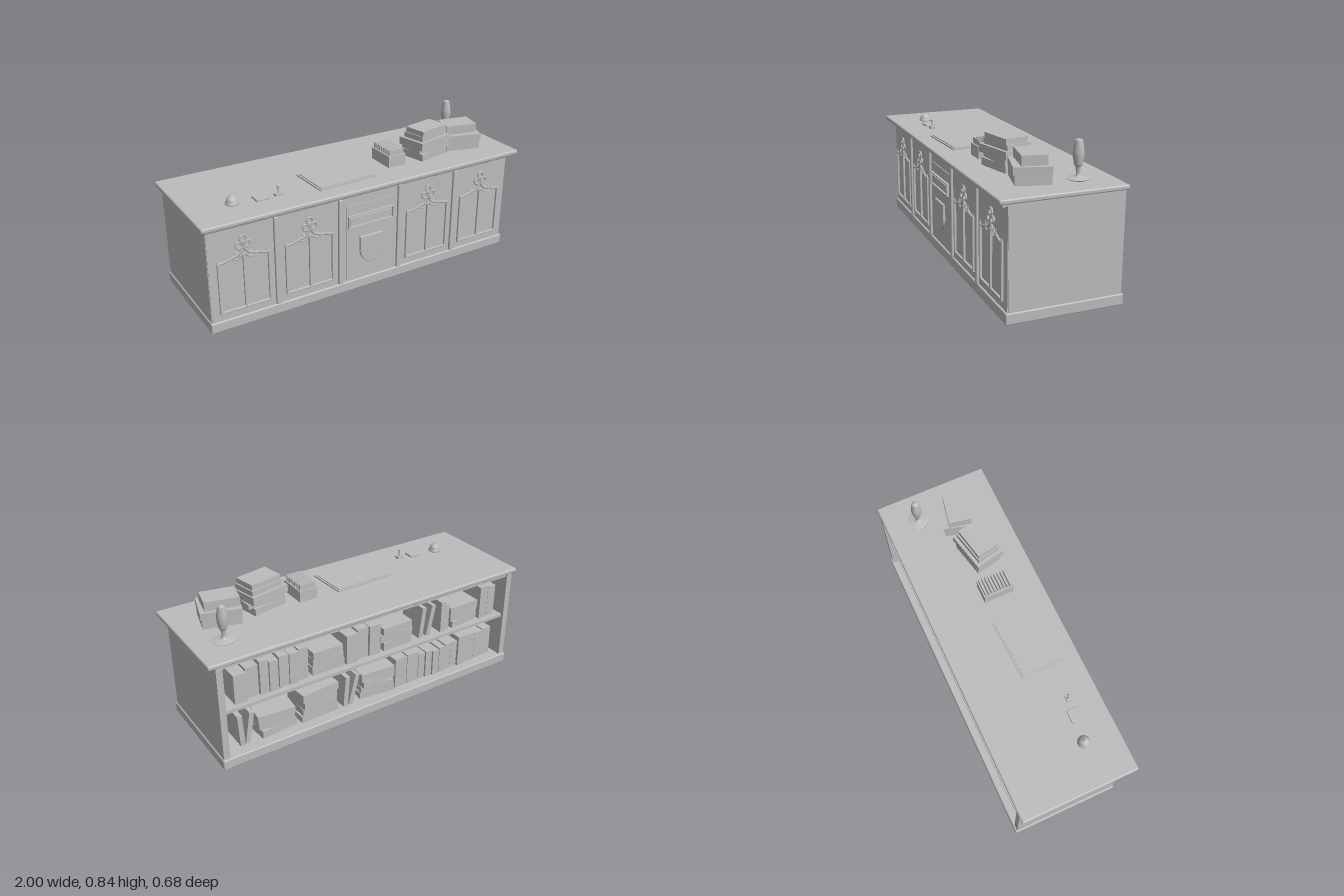
import * as THREE from 'three';
import { RoundedBoxGeometry } from 'three/addons/geometries/RoundedBoxGeometry.js';

const grey = new THREE.MeshStandardMaterial({ color: 0xbcbcbc });
grey.name = 'plain grey';
const V = (x, y, z) => new THREE.Vector3(x, y, z);

function add(parent, name, geometry, x = 0, y = 0, z = 0) {
  const m = new THREE.Mesh(geometry, grey);
  m.name = name;
  m.position.set(x, y, z);
  parent.add(m);
  return m;
}

// Box given by its minimum and maximum corners, optionally rounded
function span(parent, name, x0, x1, y0, y1, z0, z1, r = 0) {
  const s = [x1 - x0, y1 - y0, z1 - z0];
  const g = r ? new RoundedBoxGeometry(...s, 3, r) : new THREE.BoxGeometry(...s);
  return add(parent, name, g, (x0 + x1) / 2, (y0 + y1) / 2, (z0 + z1) / 2);
}

function group(parent, name, x = 0, y = 0, z = 0) {
  const g = new THREE.Group();
  g.name = name;
  g.position.set(x, y, z);
  parent.add(g);
  return g;
}

function lathe(parent, name, points, x, y, z) {
  const g = new THREE.LatheGeometry(points.map(p => new THREE.Vector2(...p)), 24);
  return add(parent, name, g, x, y, z);
}

// Gothic door panel: frame, mullion, pointed head, crockets and trefoil
function tracery(parent, x) {
  const g = group(parent, 'doorTracery', x, 0, 0.291);
  const tube = (name, curve, r, n) => add(g, name, new THREE.TubeGeometry(curve, n, r, 6));
  const bar = (name, x0, x1, y0, y1) => span(g, name, x0, x1, y0, y1, -0.007, 0.006, 0.003);
  bar('frameBottom', -0.148, 0.148, 0.1, 0.114);
  bar('mullion', -0.006, 0.006, 0.1, 0.425);
  for (const s of [-1, 1]) {
    bar('frameSide', s * 0.141 - 0.007, s * 0.141 + 0.007, 0.1, 0.4);
    tube('archHead', new THREE.CatmullRomCurve3([
      V(s * 0.146, 0.396, 0), V(s * 0.11, 0.4, 0), V(s * 0.07, 0.413, 0),
      V(s * 0.035, 0.42, 0), V(s * 0.018, 0.435, 0), V(0, 0.462, 0)]), 0.007, 20);
    tube('archInner', new THREE.CatmullRomCurve3([
      V(s * 0.07, 0.413, 0), V(s * 0.045, 0.395, 0), V(0, 0.424, 0)]), 0.005, 10);
    for (const [cx, cy, h] of [[0.068, 0.428, 0.042], [0.14, 0.412, 0.026], [0.038, 0.438, 0.026]]) {
      const c = add(g, 'crocket', new THREE.ConeGeometry(0.011, h, 6), s * cx, cy, 0);
      c.scale.z = 0.6;
    }
  }
  for (const [cx, cy] of [[0, 0.508], [-0.023, 0.473], [0.023, 0.473]])
    add(g, 'trefoilRing', new THREE.TorusGeometry(0.018, 0.006, 6, 18), cx, cy, 0);
}

// Flat pile of books; each layer is [width, height, depth, turn, dx, dz]
function pile(parent, x, y, z, layers) {
  const g = group(parent, 'bookPile', x, y, z);
  let top = 0;
  for (const [w, h, d, turn, dx = 0, dz = 0] of layers) {
    add(g, 'flatBook', new THREE.BoxGeometry(w, h, d), dx, top + h / 2, dz).rotation.y = turn;
    top += h;
  }
}

export function createModel() {
  const model = new THREE.Group();
  model.name = 'libraryDesk';
  let seed = 7;
  const rnd = () => (seed = (seed * 16807) % 2147483647) / 2147483647;

  // Carcass, open at the back
  const body = group(model, 'cabinet');
  span(body, 'plinth', -0.97, 0.97, 0, 0.06, -0.34, 0.295, 0.007);
  span(body, 'worktop', -1, 1, 0.61, 0.636, -0.33, 0.342, 0.009);
  span(body, 'frontWall', -0.96, 0.96, 0.06, 0.61, 0.255, 0.284);
  for (const s of [-1, 1])
    span(body, 'sideWall', s * 0.945 - 0.018, s * 0.945 + 0.018, 0.06, 0.61, -0.33, 0.28);
  span(body, 'innerTop', -0.93, 0.93, 0.595, 0.611, -0.32, 0.26);
  span(body, 'shelf', -0.93, 0.93, 0.322, 0.34, -0.315, 0.26);

  // Front mouldings
  const rail = add(body, 'underTopMoulding', new THREE.CylinderGeometry(0.01, 0.01, 1.95, 12), 0, 0.6, 0.308);
  rail.rotation.z = Math.PI / 2;
  span(body, 'topRail', -0.96, 0.96, 0.59, 0.611, 0.28, 0.306);
  for (const x of [-0.58, -0.195, 0.19, 0.575])
    span(body, 'pilaster', x - 0.014, x + 0.014, 0.06, 0.58, 0.28, 0.298, 0.006);
  for (const x of [-0.767, -0.385, 0.385, 0.767]) tracery(body, x);

  // Centre bay with slot and shield
  const bay = group(body, 'centreBay');
  span(bay, 'centrePanel', -0.155, 0.155, 0.07, 0.525, 0.28, 0.289);
  span(bay, 'slotPlate', -0.15, 0.146, 0.395, 0.402, 0.285, 0.302);
  span(bay, 'slotPlate', -0.15, 0.146, 0.462, 0.469, 0.285, 0.302);
  for (const x of [-0.15, 0.138]) span(bay, 'slotEnd', x, x + 0.008, 0.395, 0.469, 0.285, 0.302);
  span(bay, 'slotFlap', -0.135, 0.13, 0.408, 0.452, 0.285, 0.297);
  const shield = new THREE.Shape();
  shield.moveTo(-0.07, 0.322);
  shield.lineTo(0.07, 0.322);
  shield.lineTo(0.07, 0.235);
  shield.quadraticCurveTo(0.062, 0.18, 0, 0.155);
  shield.quadraticCurveTo(-0.062, 0.18, -0.07, 0.235);
  add(bay, 'shield', new THREE.ExtrudeGeometry(shield, {
    depth: 0.012, bevelThickness: 0.003, bevelSize: 0.004, bevelSegments: 2, curveSegments: 10,
  }), 0, 0, 0.287);

  // Shelf contents: upright runs [from x, to x, count, height], piles and leaning books
  const store = group(model, 'shelfBooks');
  const uprights = (y, runs) => runs.forEach(([a, b, n, h]) => {
    const w = (a - b) / n;
    for (let i = 0; i < n; i++) {
      const bh = h * (0.86 + 0.18 * rnd()), back = -0.265 - 0.025 * rnd();
      span(store, 'uprightBook', a - (i + 1) * w + 0.002, a - i * w - 0.002, y, y + bh, back, back + 0.18);
    }
  });
  const piles = (y, list) => list.forEach(([x, w, n]) => {
    const layers = [];
    for (let i = 0; i < n; i++)
      layers.push([w * (0.86 + 0.1 * rnd()), 0.036 + 0.014 * rnd(), 0.17, (rnd() - 0.5) * 0.22]);
    pile(store, x, y, -0.19, layers);
  });
  const leaning = (y, list) => list.forEach(([x, tilt]) => {
    const h = 0.19;
    const m = add(store, 'leaningBook', new THREE.BoxGeometry(0.028, h, 0.17),
      x, y + (h / 2) * Math.cos(tilt) + 0.014 * Math.abs(Math.sin(tilt)), -0.19);
    m.rotation.z = tilt;
  });
  uprights(0.34, [[0.86, 0.71, 2, 0.2], [0.708, 0.6, 2, 0.2], [0.595, 0.415, 3, 0.19],
    [0.18, -0.05, 3, 0.19], [-0.47, -0.54, 2, 0.19], [-0.77, -0.89, 2, 0.2]]);
  piles(0.34, [[0.29, 0.21, 3], [-0.17, 0.22, 3], [-0.655, 0.22, 3]]);
  leaning(0.34, [[-0.345, 0.12], [-0.405, 0.2]]);
  uprights(0.06, [[-0.16, -0.33, 2, 0.21], [-0.33, -0.62, 6, 0.18], [-0.62, -0.89, 4, 0.2]]);
  piles(0.06, [[0.61, 0.24, 3], [0.35, 0.25, 4], [-0.045, 0.24, 4]]);
  leaning(0.06, [[0.83, -0.05], [0.78, 0.17], [0.175, 0.08], [0.125, 0.24]]);

  // Book piles on the worktop
  const T = 0.635;
  pile(model, 0.49, T, 0.095, [
    [0.21, 0.042, 0.16, 0.22], [0.23, 0.028, 0.15, 0.1, 0.01], [0.24, 0.045, 0.175, 0.22],
    [0.21, 0.03, 0.14, 0.22, 0.005], [0.195, 0.03, 0.132, 0.2, 0.005, 0.005]]);
  pile(model, 0.745, T, 0.08, [
    [0.21, 0.053, 0.18, -0.25], [0.22, 0.04, 0.19, -0.28], [0.19, 0.052, 0.13, -0.2, -0.005, -0.005]]);

  // Card tray with rows of cards
  const tray = group(model, 'cardTray', 0.245, T, 0.087);
  span(tray, 'trayBox', -0.056, 0.056, 0, 0.068, -0.087, 0.087);
  for (let i = 0; i < 9; i++)
    span(tray, 'card', -0.049, 0.049, 0.06, 0.1, -0.08 + i * 0.0185, -0.07 + i * 0.0185);

  // Writing pad
  const pad = group(model, 'writingPad', -0.118, T, 0.117);
  pad.rotation.y = 0.045;
  span(pad, 'padBase', -0.182, 0.182, 0, 0.009, -0.125, 0.125);
  span(pad, 'padSheet', -0.172, 0.172, 0.008, 0.014, -0.115, 0.115);

  // Call bell
  lathe(model, 'callBell', [[0, 0], [0.036, 0], [0.036, 0.007], [0.03, 0.012], [0.03, 0.02], [0.026, 0.032],
    [0.015, 0.041], [0.005, 0.044], [0.005, 0.051], [0.003, 0.055], [0, 0.056]], -0.752, T, 0.143);

  // Ink pad and hand stamp
  span(model, 'inkPad', -0.638, -0.562, T, T + 0.013, 0.133, 0.195, 0.003);
  span(model, 'stampBase', -0.525, -0.482, T, T + 0.014, 0.16, 0.188);
  lathe(model, 'stampHandle', [[0.009, 0], [0.005, 0.01], [0.004, 0.028], [0.009, 0.038],
    [0.009, 0.045], [0, 0.05]], -0.503, T + 0.012, 0.174);

  // Lamp: saucer, stem and tall shade
  lathe(model, 'lamp', [[0, 0], [0.045, 0], [0.06, 0.007], [0.06, 0.01], [0.025, 0.014], [0.012, 0.019],
    [0.009, 0.03], [0.01, 0.045], [0.014, 0.056], [0.012, 0.066], [0.02, 0.072], [0.022, 0.08],
    [0.029, 0.118], [0.028, 0.145], [0.02, 0.194], [0.017, 0.199], [0.006, 0.2], [0.004, 0.205],
    [0, 0.206]], 0.825, T, -0.14);

  return model;
}
